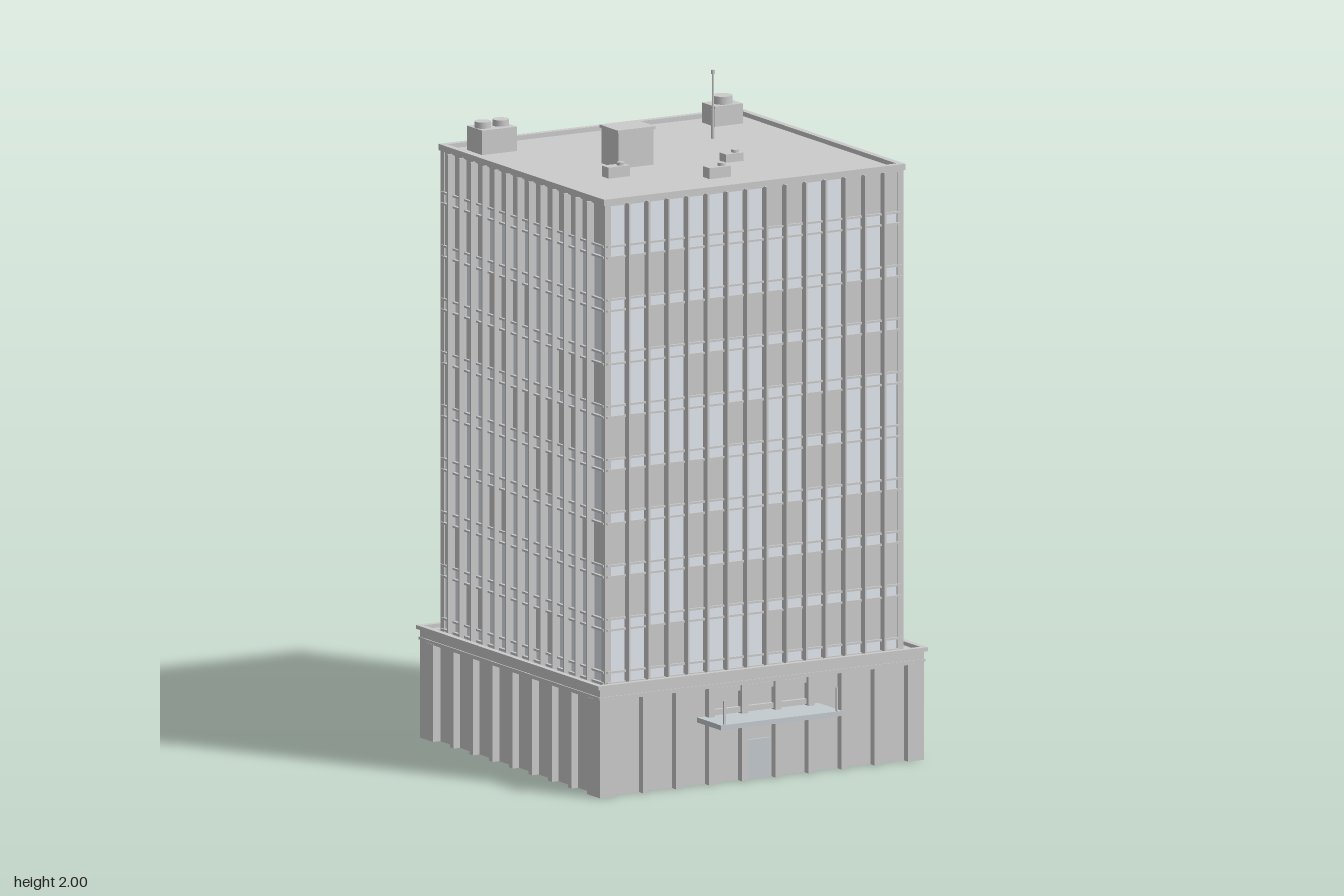
import * as THREE from 'three';

const grey = new THREE.MeshStandardMaterial({ color: 0xcccccc });
const glass = new THREE.MeshStandardMaterial({ color: 0xe2e7ef });
const tinted = new THREE.MeshStandardMaterial({ color: 0xc3cbd0 });

const ZC = -0.055;                       // building centre in z
const TOWER = { x: 0.51, z: 0.472 };     // half sizes
const BASE = { x: 0.56, z: 0.524 };
const FLOORS = 9, FLOOR_H = 0.1615, TOP = 1.788;

function add(parent, name, geometry, x, y, z, material = grey) {
  const mesh = new THREE.Mesh(geometry, material);
  mesh.name = name;
  mesh.position.set(x, y, z);
  parent.add(mesh);
  return mesh;
}

// Box given by its min and max along each axis
function block(parent, name, x0, x1, y0, y1, z0, z1, material) {
  return add(parent, name, new THREE.BoxGeometry(x1 - x0, y1 - y0, z1 - z0),
    (x0 + x1) / 2, (y0 + y1) / 2, (z0 + z1) / 2, material);
}

function cylinder(parent, name, r, y0, y1, x, z, sides = 20) {
  return add(parent, name, new THREE.CylinderGeometry(r, r, y1 - y0, sides), x, (y0 + y1) / 2, z);
}

// Rectangular frame lying flat, centred on the building
function ring(parent, name, hx, hz, t, y0, y1) {
  const rect = (C, a, b) => new C([[-a, -b], [a, -b], [a, b], [-a, b]].map(p => new THREE.Vector2(...p)));
  const shape = rect(THREE.Shape, hx, hz);
  shape.holes.push(rect(THREE.Path, hx - t, hz - t));
  const geometry = new THREE.ExtrudeGeometry(shape, { depth: y1 - y0, bevelEnabled: false });
  geometry.rotateX(-Math.PI / 2);
  return add(parent, name, geometry, 0, y0, ZC);
}

// Which pairs of window bays have blinds, top floor first
const FRONT_BLINDS = ['00001011', '11000001', '01111011', '00101011', '10010100',
  '11100100', '10101011', '10111111', '01001111'];
const SIDE_BLINDS = ['0100100', '1000000', '0010001', '0000100', '1001110',
  '1110011', '1011000', '1100000', '1111111'];

// One tower face, built facing +z at distance d from the centre
function towerFace(half, d, bays, blinds) {
  const face = new THREE.Group();
  face.name = 'towerFace';
  const pitch = half * 2 / bays;
  for (let i = 1; i < bays; i++) {
    const x = -half + i * pitch;
    block(face, 'fin', x - 0.003, x + 0.003, 0.33, TOP, d - 0.005, d + 0.026);
  }
  blinds.forEach((row, f) => {
    const y1 = TOP - f * FLOOR_H, y0 = y1 - 0.128;
    [...row].forEach((c, i) => {
      if (c === '1') {
        const x0 = -half + i * 2 * pitch;
        block(face, 'blind', x0, Math.min(x0 + 2 * pitch, half), y0, y1, d - 0.004, d + 0.002);
      }
    });
    for (const y of [y0, y1 - FLOOR_H]) {
      block(face, 'transom', -half, half, y - 0.003, y + 0.003, d - 0.004, d + 0.01);
    }
  });
  return face;
}

// One base face: recessed panels, pilasters and an inner glass wall
function baseFace(half, d, bays) {
  const face = new THREE.Group();
  face.name = 'baseFace';
  const pitch = 0.1145, w = bays * pitch / 2;
  block(face, 'panel', -w, w, 0, 0.3, d - 0.035, d - 0.025);
  block(face, 'innerGlass', -half + 0.04, half - 0.04, 0, 0.3, d - 0.042, d - 0.036, glass);
  block(face, 'lintel', -half + 0.001, half - 0.001, 0.293, 0.33, d - 0.035, d - 0.001);
  for (let i = 1; i < bays; i++) {
    const x = -w + i * pitch;
    block(face, 'pilaster', x - 0.0105, x + 0.0105, 0, 0.295, d - 0.035, d - 0.002);
  }
  for (const s of [-1, 1]) {
    const a = s * (w - 0.0105), b = s * (half - 0.03);
    block(face, 'endPier', Math.min(a, b), Math.max(a, b), 0, 0.295, d - 0.035, d);
  }
  return face;
}

// Four faces turned around the building
function around(parent, size, make) {
  for (let i = 0; i < 4; i++) {
    const side = i % 2 === 1;
    const face = make(side ? size.z : size.x, side ? size.x : size.z, side, i);
    face.rotation.y = i * Math.PI / 2;
    face.position.z = ZC;
    parent.add(face);
  }
}

export function createModel() {
  const model = new THREE.Group();
  model.name = 'officeTower';

  // Hollow base with corner piers, cornice and terrace
  const base = new THREE.Group();
  base.name = 'base';
  model.add(base);
  around(base, BASE, (half, d, side) => baseFace(half, d, side ? 8 : 9));
  for (const sx of [-1, 1]) for (const sz of [-1, 1]) {
    add(base, 'cornerPier', new THREE.BoxGeometry(0.035, 0.33, 0.035),
      sx * (BASE.x - 0.0175), 0.165, ZC + sz * (BASE.z - 0.0175));
  }
  block(base, 'terrace', -0.545, 0.545, 0.3, 0.325, ZC - 0.51, ZC + 0.51);
  ring(base, 'baseMoulding', 0.563, 0.526, 0.02, 0.298, 0.306);
  ring(base, 'cornice', 0.57, 0.531, 0.018, 0.33, 0.342);

  // Entrance: door, canopy with posts, and ledges above it
  const entrance = new THREE.Group();
  entrance.name = 'entrance';
  model.add(entrance);
  const front = ZC + BASE.z;
  block(entrance, 'door', -0.038, 0.038, 0, 0.12, front - 0.03, front - 0.018, tinted);
  block(entrance, 'canopy', -0.21, 0.21, 0.19, 0.205, front - 0.03, 0.582, tinted);
  for (const s of [-1, 1]) {
    block(entrance, 'canopyPost', s * 0.194 - 0.003, s * 0.194 + 0.003, 0.2, 0.277, 0.574, 0.58);
  }
  for (const x of [-0.1145, 0, 0.1145]) for (const y of [0.217, 0.282]) {
    block(entrance, 'windowLedge', x - 0.047, x + 0.047, y - 0.008, y + 0.008, front - 0.03, front - 0.012);
  }

  // Glazed tower with fins
  const tower = new THREE.Group();
  tower.name = 'tower';
  model.add(tower);
  block(tower, 'curtainWall', -TOWER.x, TOWER.x, 0.32, TOP, ZC - TOWER.z, ZC + TOWER.z, glass);
  around(tower, TOWER, (half, d, side, i) => {
    const rows = side ? SIDE_BLINDS : FRONT_BLINDS;
    return towerFace(half, d, side ? 14 : 15, i < 2 ? rows : [...rows].reverse());
  });
  for (const sx of [-1, 1]) for (const sz of [-1, 1]) {
    add(tower, 'cornerPost', new THREE.BoxGeometry(0.02, TOP - 0.32, 0.02),
      sx * 0.506, (TOP + 0.32) / 2, ZC + sz * 0.468);
  }
  block(tower, 'roof', -0.515, 0.515, 1.782, 1.791, ZC - 0.477, ZC + 0.477);
  ring(tower, 'parapet', 0.521, 0.482, 0.02, 1.786, 1.805);

  // Roof equipment
  const roof = new THREE.Group();
  roof.name = 'roofEquipment';
  model.add(roof);
  block(roof, 'stairHouse', -0.216, -0.094, 1.79, 1.9, -0.103, -0.004);
  block(roof, 'stairHouseCap', -0.22, -0.09, 1.899, 1.908, -0.107, 0);
  block(roof, 'twinCooler', -0.46, -0.34, 1.79, 1.865, -0.473, -0.385);
  for (const x of [-0.432, -0.37]) cylinder(roof, 'coolerFan', 0.025, 1.86, 1.884, x, -0.429);
  block(roof, 'cooler', 0.348, 0.445, 1.79, 1.852, -0.466, -0.391);
  cylinder(roof, 'coolerFan', 0.03, 1.85, 1.876, 0.397, -0.429);
  for (const [x0, x1, z0, top, vx] of [[-0.315, -0.241, 0.068, 1.824, -0.262],
    [-0.061, 0.013, 0.228, 1.824, -0.008], [0.105, 0.165, 0.045, 1.816, 0.147]]) {
    block(roof, 'ventBox', x0, x1, 1.79, top, z0, z0 + 0.038);
    cylinder(roof, 'ventCap', 0.012, top, top + 0.009, vx, z0 + 0.019, 12);
  }
  cylinder(roof, 'mastBase', 0.005, 1.79, 1.88, 0.253, -0.243, 8);
  cylinder(roof, 'mast', 0.003, 1.88, 1.99, 0.253, -0.243, 8);
  cylinder(roof, 'mastTip', 0.006, 1.988, 2, 0.253, -0.243, 8);

  return model;
}
